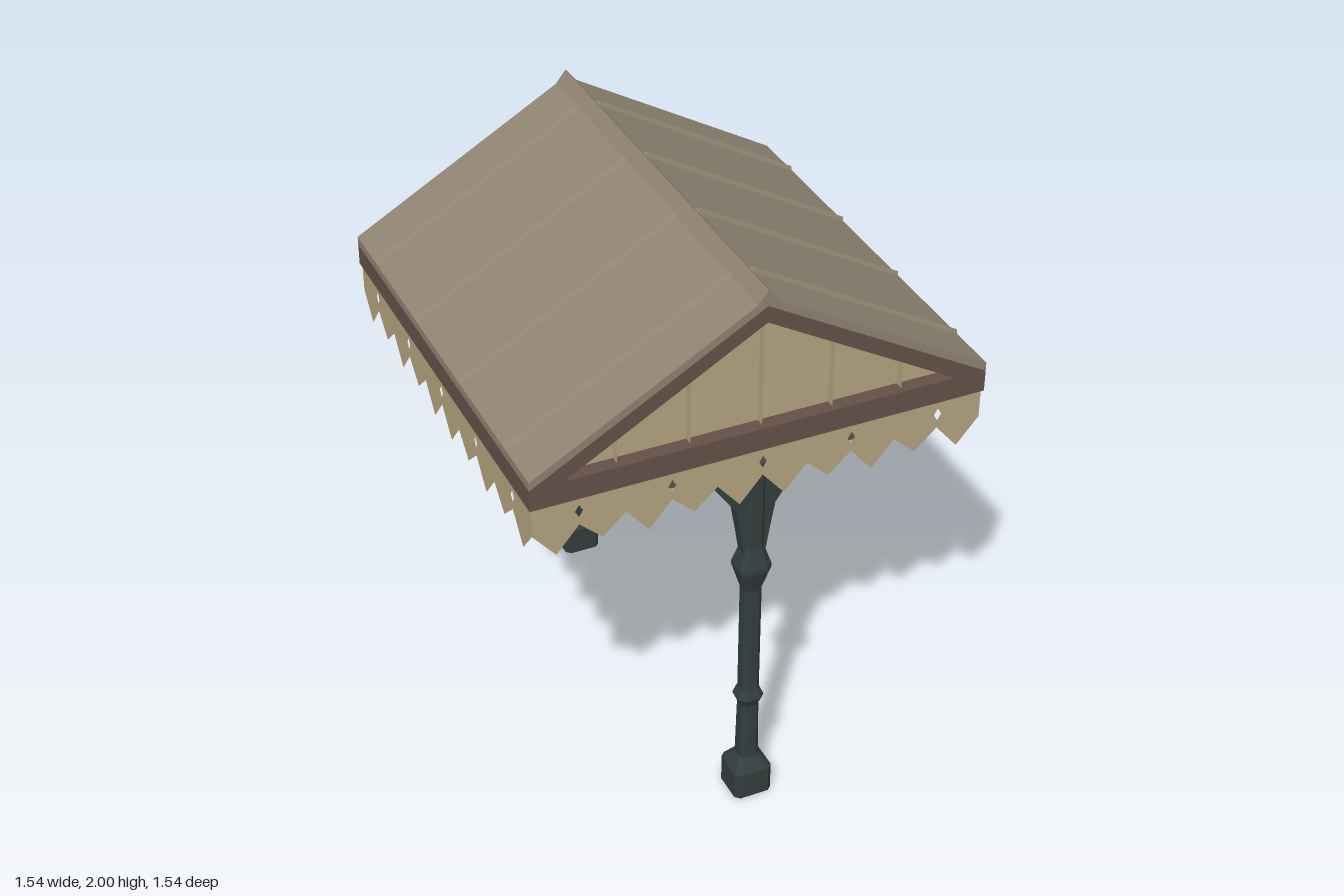
import * as THREE from 'three';

const mat = (name, color, side = THREE.FrontSide) => {
  const m = new THREE.MeshStandardMaterial({ color, side, flatShading: true });
  m.name = name;
  return m;
};

export function createModel() {
  const roofMat = mat('roof taupe', 0x908472);
  const tan = mat('painted tan', 0xb6a47f, THREE.DoubleSide);
  const brown = mat('timber brown', 0x645148);
  const ceilMat = mat('ceiling brown', 0x85614b);
  const iron = mat('dark iron', 0x333d3e);
  const glass = mat('lamp glass', 0xbdbdb8);

  const root = new THREE.Group();
  root.name = 'canopy';
  const add = (name, geo, material, x = 0, y = 0, z = 0, parent = root) => {
    const m = new THREE.Mesh(geo, material);
    m.name = name;
    m.position.set(x, y, z);
    parent.add(m);
    return m;
  };
  const poly = (pts) => new THREE.Shape(pts.map(([x, y]) => new THREE.Vector2(x, y)));
  const extrude = (shape, depth) => new THREE.ExtrudeGeometry(shape, { depth, bevelEnabled: false });
  const box = (w, h, d) => new THREE.BoxGeometry(w, h, d);

  const H = 0.77, EAVE = 1.535, RIDGE = 1.975, T = 0.03;

  // Roof sheets and ridge cap, running front to back
  const roof = poly([[-H, EAVE - T], [0, RIDGE - T], [H, EAVE - T], [H, EAVE], [0, RIDGE], [-H, EAVE]]);
  add('roofSheets', extrude(roof, 2 * H), roofMat, 0, 0, -H);
  add('ridgeCap', extrude(poly([[-0.035, 1.956], [0.035, 1.956], [0, 2]]), 2 * H), roofMat, 0, 0, -H);

  // Standing seams on both slopes, pointed at the upper end
  const rise = RIDGE - EAVE, len = Math.hypot(H, rise) * 0.97;
  const seam = new THREE.LatheGeometry([[0, -len / 2], [0.012, -len / 2], [0.012, len / 2 - 0.02], [0, len / 2]]
    .map(([x, y]) => new THREE.Vector2(x, y)), 4);
  for (const s of [-1, 1]) {
    for (const z of [-0.58, -0.195, 0.195, 0.58]) {
      const m = add('roofSeam', seam, roofMat, s * H * 0.51, EAVE + rise * 0.49, z);
      m.rotation.z = s * Math.atan2(H, rise);
    }
  }

  // Front gable: frame, recessed panel and thin upright fins
  const frame = poly([[-H, 1.43], [H, 1.43], [H, EAVE - T], [0, RIDGE - T], [-H, EAVE - T]]);
  frame.holes.push(poly([[-0.66, 1.508], [0, 1.888], [0.66, 1.508]]));
  add('frontGableFrame', extrude(frame, 0.07), brown, 0, 0, H - 0.07);
  add('frontGablePanel', extrude(poly([[-0.7, 1.49], [0.7, 1.49], [0, 1.91]]), 0.01), tan, 0, 0, H - 0.06);
  for (let i = -2; i <= 2; i++) {
    const top = 1.888 - Math.abs(i) * 0.24 * 0.576;
    const fin = new THREE.PlaneGeometry(0.03, top - 1.5).rotateY(Math.PI / 2);
    add('gableFin', fin, tan, i * 0.24, (top + 1.5) / 2, H - 0.035);
  }

  // Back gable wall and eaves beams
  add('backGableWall', extrude(poly([[-H, 1.505], [H, 1.505], [0, RIDGE - T]]), 0.03), roofMat, 0, 0, -H);
  add('backBeam', box(2 * H, 0.075, 0.04), brown, 0, 1.4675, -H + 0.02);
  for (const s of [-1, 1]) add('sideBeam', box(0.04, 0.075, 2 * H - 0.11), brown, s * (H - 0.02), 1.4675, -0.015);

  // Ceiling with board joints, and the beams beneath it
  add('ceiling', box(2 * H - 0.06, 0.02, 2 * H - 0.1), ceilMat, 0, 1.48, 0);
  for (const x of [-0.38, 0.38]) add('ceilingJoint', box(0.012, 0.006, 2 * H - 0.1), ceilMat, x, 1.468, 0);
  add('centreBeam', box(0.08, 0.115, 1.46), brown, 0, 1.4125, -0.03);
  const cross = poly([[-0.74, 1.47], [-0.74, 1.45], [-0.5, 1.355], [0.5, 1.355], [0.74, 1.45], [0.74, 1.47]]);
  add('frontCrossBeam', extrude(cross, 0.08), brown, 0, 0, 0.662);

  // Toothed sheet valance with diamond holes, on the front and both sides
  const W = 0.763, step = W / 5;
  const edge = [[W, 1.44], [-W, 1.44], [-W, 1.33]];
  for (let i = 0; i < 10; i++) {
    edge.push([-W + (i + 0.5) * step, (i < 5 ? i : 9 - i) % 2 ? 1.26 : 1.24], [-W + (i + 1) * step, 1.33]);
  }
  const valance = poly(edge);
  for (let i = -2; i <= 2; i++) {
    const x = i * 2 * step;
    valance.holes.push(poly([[x - 0.013, 1.38], [x, 1.402], [x + 0.013, 1.38], [x, 1.358]]));
  }
  const valanceGeo = new THREE.ShapeGeometry(valance);
  add('frontValance', valanceGeo, tan, 0, 0, W);
  for (const s of [-1, 1]) add('sideValance', valanceGeo, tan, s * W).rotation.y = s * Math.PI / 2;

  // Column skin from chamfered square rings; half = flattened against the back plane
  const rings = [[0, 0.067, 0.016], [0.1, 0.067, 0.016], [0.145, 0.034, 0.014], [0.365, 0.031, 0.014],
    [0.4, 0.045, 0.02], [0.435, 0.031, 0.014], [0.85, 0.031, 0.014], [0.935, 0.055, 0.022],
    [0.95, 0.055, 0.022], [1.02, 0.033, 0.014], [1.43, 0.033, 0.014]];
  const columnGeometry = (half) => {
    const pos = [], idx = [];
    for (const [y, w, c] of rings) {
      const k = w - c;
      for (const [x, z] of [[k, w], [w, k], [w, -k], [k, -w], [-k, -w], [-w, -k], [-w, k], [-k, w]]) {
        pos.push(x, y, half ? Math.max(z, 0) : z);
      }
    }
    for (let r = 0; r < rings.length - 1; r++) {
      for (let i = 0; i < 8; i++) {
        const a = r * 8 + i, b = r * 8 + (i + 1) % 8;
        idx.push(a, b, b + 8, a, b + 8, a + 8);
      }
    }
    const top = (rings.length - 1) * 8;
    for (let i = 1; i < 7; i++) idx.push(0, i + 1, i, top, top + i, top + i + 1);
    const g = new THREE.BufferGeometry();
    g.setAttribute('position', new THREE.Float32BufferAttribute(pos, 3));
    g.setIndex(idx);
    const flat = g.toNonIndexed();
    flat.computeVertexNormals();
    return flat;
  };

  // Curved bracket, reaching along local +x
  const bracket = poly([[0, 0.96], [0.036, 0.99], [0.05, 1.08], [0.068, 1.18], [0.17, 1.325],
    [0.25, 1.385], [0.35, 1.43], [0, 1.43]]);
  const bracketGeo = extrude(bracket, 0.044).translate(0, 0, -0.022);

  const post = (name, z, half) => {
    const g = new THREE.Group();
    g.name = name;
    g.position.z = z;
    root.add(g);
    add('column', columnGeometry(half), iron, 0, 0, 0, g);
    const off = half ? 0.022 : 0;
    add('leftBracket', bracketGeo, iron, 0, 0, off, g);
    add('rightBracket', bracketGeo, iron, 0, 0, off, g).rotation.y = Math.PI;
    add('innerBracket', bracketGeo, iron, 0, 0, 0, g).rotation.y = half ? -Math.PI / 2 : Math.PI / 2;
  };
  post('frontPost', 0.702, false);
  post('backHalfPost', -H, true);

  // Hanging square lantern
  const lamp = new THREE.Group();
  lamp.name = 'lantern';
  lamp.position.x = -0.445;
  root.add(lamp);
  const tapered = (name, top, bottom, y0, y1, m) => {
    const geo = new THREE.CylinderGeometry(top * Math.SQRT2, bottom * Math.SQRT2, y1 - y0, 4).rotateY(Math.PI / 4);
    add(name, geo, m, 0, (y0 + y1) / 2, 0, lamp);
  };
  tapered('rod', 0.005, 0.005, 1.15, 1.475, iron);
  tapered('cap', 0.008, 0.06, 1.115, 1.168, iron);
  tapered('glass', 0.05, 0.033, 0.965, 1.115, glass);
  tapered('foot', 0.034, 0.005, 0.932, 0.966, iron);

  return root;
}
